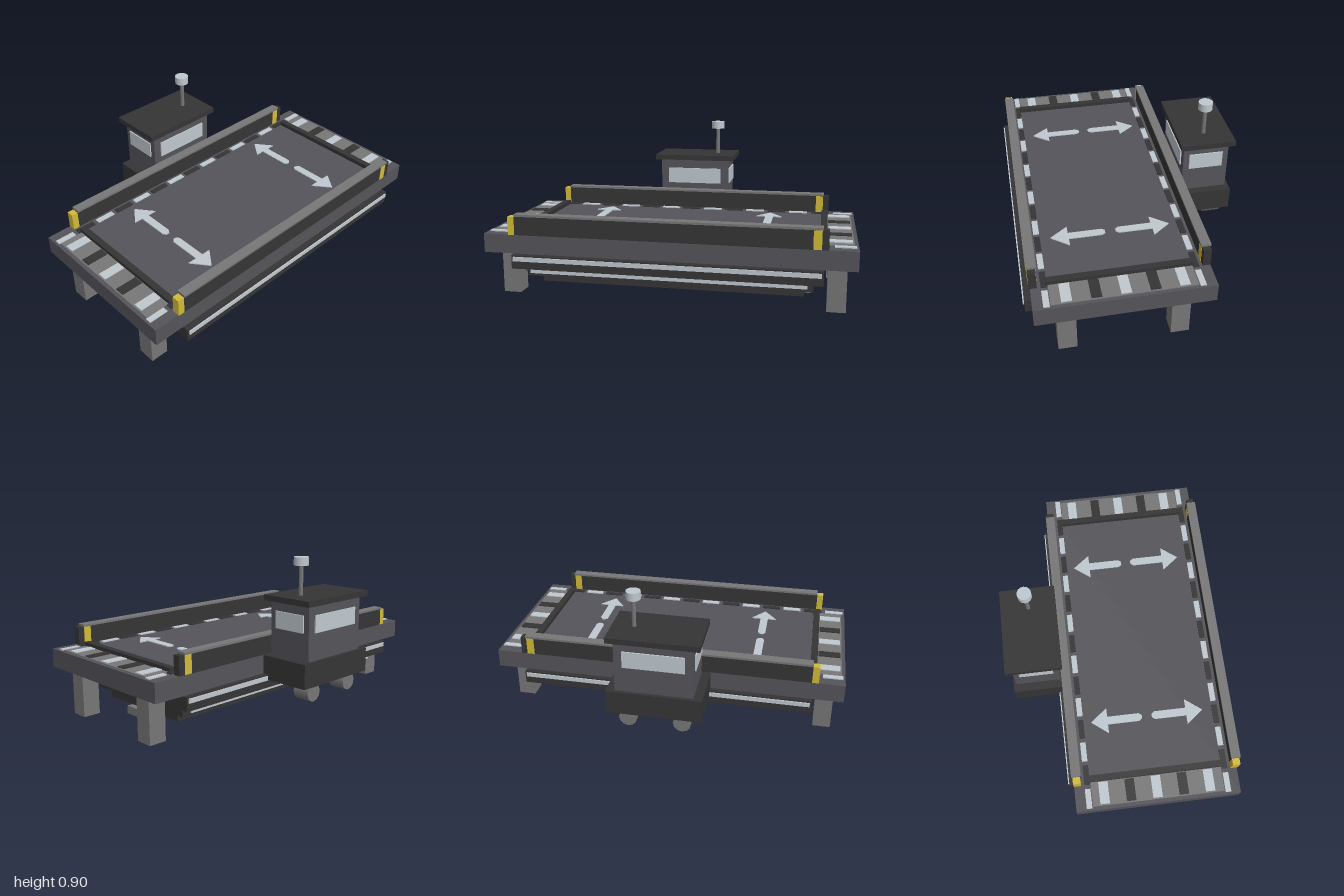
import * as THREE from 'three';

const mat = (name, color) => {
  const m = new THREE.MeshStandardMaterial({ color });
  m.name = name;
  return m;
};

export function createModel() {
  const root = new THREE.Group();
  root.name = 'ferryPlatform';
  const deckGrey = mat('deckGrey', 0x55545a);
  const dark = mat('darkGrey', 0x353535);
  const grey = mat('midGrey', 0x777777);
  const pale = mat('paleBlueGrey', 0xc0c9d0);
  const yellow = mat('safetyYellow', 0xd2bb38);

  const add = (name, geo, material) => {
    const mesh = new THREE.Mesh(geo, material);
    mesh.name = name;
    root.add(mesh);
    return mesh;
  };
  // Box given by its limits on each axis
  const box = (name, material, x0, x1, y0, y1, z0, z1) => {
    const m = add(name, new THREE.BoxGeometry(x1 - x0, y1 - y0, z1 - z0), material);
    m.position.set((x0 + x1) / 2, (y0 + y1) / 2, (z0 + z1) / 2);
    return m;
  };
  const CZ = 0.135; // middle of the deck

  // Deck and stepped hull
  box('deck', deckGrey, -1, 1, 0.26, 0.365, -0.335, 0.6);
  box('upperHull', dark, -0.83, 0.83, 0.185, 0.26, CZ - 0.5, CZ + 0.5);
  box('middleHull', dark, -0.78, 0.78, 0.12, 0.185, CZ - 0.4, CZ + 0.4);
  box('lowerHull', dark, -0.73, 0.73, 0.06, 0.12, CZ - 0.3, CZ + 0.3);
  box('keel', grey, -0.765, 0.765, 0.015, 0.06, CZ - 0.1, CZ + 0.1);

  // Legs
  for (const sx of [-1, 1]) for (const sz of [-1, 1]) {
    const x = sx * 0.9, z = CZ + sz * 0.3;
    box('leg', grey, x - 0.05, x + 0.05, 0, 0.26, z - 0.05, z + 0.05);
  }

  for (const s of [-1, 1]) {
    // Pale strips along the hull
    const zu = CZ + s * 0.503, zm = CZ + s * 0.433;
    box('upperHullStrip', pale, -0.82, 0.82, 0.228, 0.252, zu - 0.004, zu + 0.004);
    box('middleHullStrip', pale, -0.75, 0.75, 0.145, 0.166, zm - 0.004, zm + 0.004);

    // Side walls with caps and yellow end markings
    const zw = CZ + s * 0.45;
    box('sideWall', dark, -0.82, 0.85, 0.365, 0.468, zw - 0.021, zw + 0.021);
    box('wallCap', grey, -0.82, 0.82, 0.468, 0.48, zw - 0.027, zw + 0.027);
    box('wallEndMarker', yellow, -0.857, -0.82, 0.365, 0.465, zw - 0.021, zw + 0.021);
    box('wallMarker', yellow, 0.772, 0.815, 0.366, 0.466, zw - 0.023, zw + 0.023);

    // Dashes along both long edges
    const zd = CZ + s * 0.395;
    for (let i = 0; i < 15; i++) {
      const x = -0.9333 + i * 0.13333;
      box('edgeDash', i % 2 ? dark : pale, x - 0.055, x + 0.055, 0.365, 0.371, zd - 0.016, zd + 0.016);
    }

    // End ramps with stripes and a raised sill
    const xr = s * 0.905;
    box('rampPad', grey, xr - 0.075, xr + 0.075, 0.365, 0.369, CZ - 0.375, CZ + 0.375);
    box('rampSill', dark, s * 0.825 - 0.018, s * 0.825 + 0.018, 0.365, 0.39, CZ - 0.385, CZ + 0.385);
    for (let i = -2; i <= 2; i++) {
      const z = CZ - 0.005 + i * 0.15;
      box('rampStripe', i % 2 ? dark : pale, s * 0.91 - 0.062, s * 0.91 + 0.062, 0.368, 0.374, z - 0.027, z + 0.027);
    }
  }

  // Direction arrows painted on the deck
  const arrow = new THREE.Shape([
    [0, 0.15], [0.075, 0.052], [0.023, 0.052], [0.023, -0.132], [0.01, -0.15],
    [-0.01, -0.15], [-0.023, -0.132], [-0.023, 0.052], [-0.075, 0.052],
  ].map(([x, y]) => new THREE.Vector2(x, y)));
  const arrowGeo = new THREE.ExtrudeGeometry(arrow, { depth: 0.006, bevelEnabled: false });
  arrowGeo.rotateX(-Math.PI / 2);
  for (const x of [-0.5, 0.5]) {
    add('arrowToBack', arrowGeo, pale).position.set(x, 0.365, -0.05);
    const front = add('arrowToFront', arrowGeo, pale);
    front.position.set(x, 0.365, 0.308);
    front.rotation.y = Math.PI;
  }

  // Control cabin at the back
  const KZ = -0.481;
  box('cabinBase', dark, -0.263, 0.263, 0.23, 0.364, -0.632, -0.333);
  box('cabin', deckGrey, -0.214, 0.214, 0.364, 0.665, KZ - 0.132, KZ + 0.132);
  box('cabinRoof', dark, -0.25, 0.25, 0.664, 0.695, -0.641, -0.325);
  for (const s of [-1, 1]) {
    const z = KZ + s * 0.135, x = s * 0.217;
    box('cabinWindow', pale, -0.168, 0.168, 0.515, 0.61, z - 0.0045, z + 0.0045);
    box('cabinSideWindow', pale, x - 0.0045, x + 0.0045, 0.515, 0.61, KZ - 0.098, KZ + 0.098);
  }

  // Mast and lamp
  add('mast', new THREE.CylinderGeometry(0.012, 0.012, 0.165, 12), grey).position.set(0.13, 0.775, -0.482);
  add('mastLamp', new THREE.CylinderGeometry(0.04, 0.04, 0.045, 16), pale).position.set(0.13, 0.878, -0.482);

  // Round thrusters below the cabin
  const thruster = new THREE.CylinderGeometry(0.05, 0.05, 0.1, 12);
  thruster.rotateX(Math.PI / 2);
  for (const x of [-0.15, 0.15]) add('thruster', thruster, grey).position.set(x, 0.185, -0.55);

  return root;
}
